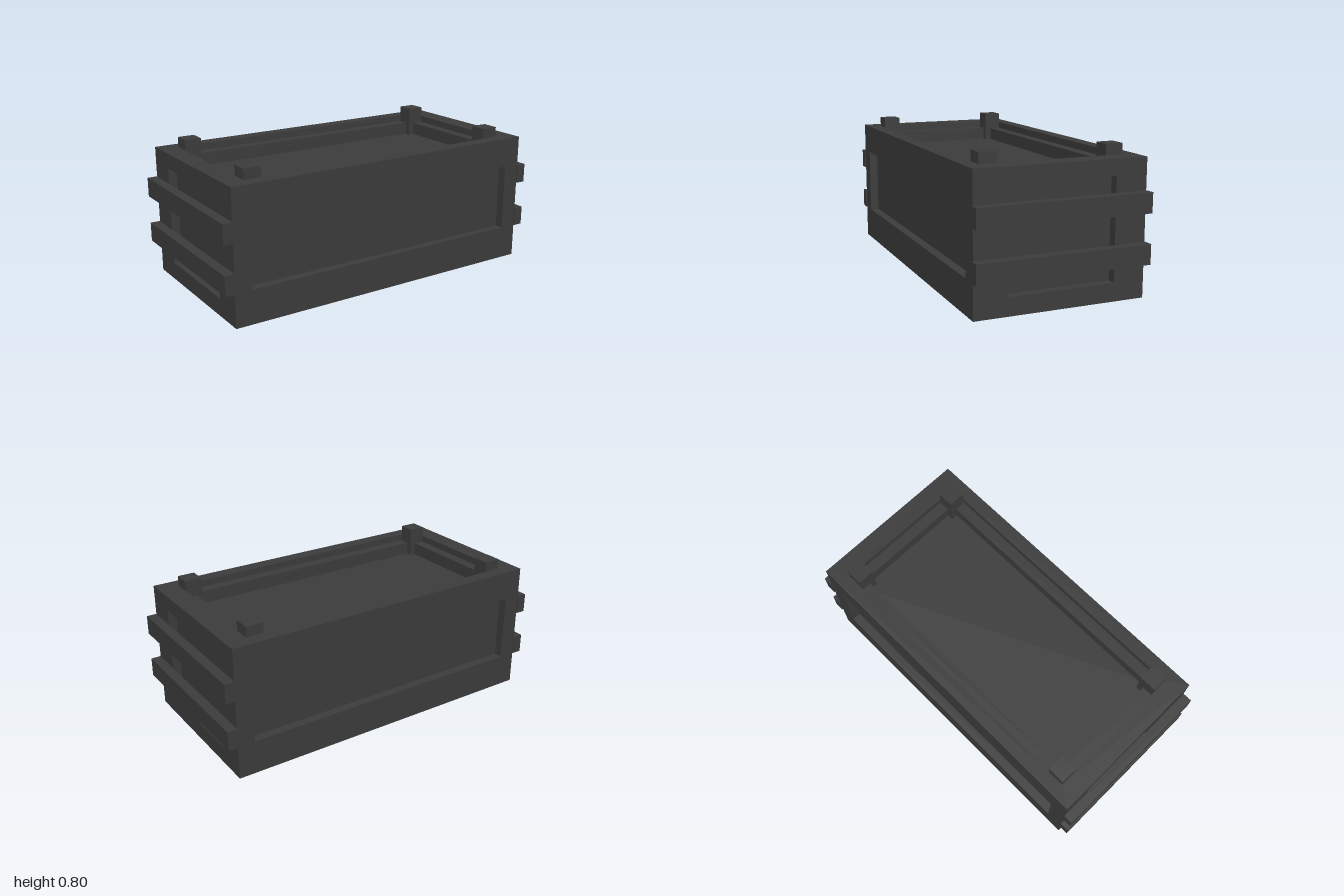
import * as THREE from 'three';
import { mergeGeometries } from 'three/addons/utils/BufferGeometryUtils.js';

const material = new THREE.MeshStandardMaterial({ color: 0x3c3c3c, flatShading: true });

// Flat w x h panel facing +z with a rectangular recess [x0, x1, y0, y1] sunk to -depth
function recessedPanel(w, h, [x0, x1, y0, y1], depth) {
  const rect = (Type, a, b, c, d) => {
    const p = new Type();
    p.moveTo(a, c).lineTo(b, c).lineTo(b, d).lineTo(a, d).closePath();
    return p;
  };
  const frame = rect(THREE.Shape, -w / 2, w / 2, -h / 2, h / 2);
  frame.holes.push(rect(THREE.Path, x0, x1, y0, y1));

  const cx = (x0 + x1) / 2, cy = (y0 + y1) / 2, rw = x1 - x0, rh = y1 - y0;
  const plane = (pw, ph) => new THREE.PlaneGeometry(pw, ph);
  return mergeGeometries([
    new THREE.ShapeGeometry(frame),
    plane(rw, rh).translate(cx, cy, -depth),
    plane(depth, rh).rotateY(Math.PI / 2).translate(x0, cy, -depth / 2),
    plane(depth, rh).rotateY(-Math.PI / 2).translate(x1, cy, -depth / 2),
    plane(rw, depth).rotateX(-Math.PI / 2).translate(cx, y0, -depth / 2),
    plane(rw, depth).rotateX(Math.PI / 2).translate(cx, y1, -depth / 2),
  ]);
}

export function createModel() {
  const group = new THREE.Group();
  const add = (name, geometry) => {
    const mesh = new THREE.Mesh(geometry, material);
    mesh.name = name;
    group.add(mesh);
  };
  // Box given by its limits on each axis
  const block = (name, [x0, x1], [y0, y1], [z0, z1]) => add(name,
    new THREE.BoxGeometry(x1 - x0, y1 - y0, z1 - z0)
      .translate((x0 + x1) / 2, (y0 + y1) / 2, (z0 + z1) / 2));

  const W = 1.89, H = 0.742, D = 0.95, mid = H / 2;

  // Crate body: six recessed panels
  const long = [-0.847, 0.847, 0.19 - mid, 0.573 - mid];
  const end = [-0.3, 0.3, 0.1 - mid, 0.655 - mid];
  add('frontPanel', recessedPanel(W, H, long, 0.05).translate(0, mid, D / 2));
  add('backPanel', recessedPanel(W, H, long, 0.05).rotateY(Math.PI).translate(0, mid, -D / 2));
  add('leftPanel', recessedPanel(D, H, end, 0.05).rotateY(Math.PI / 2).translate(W / 2, mid, 0));
  add('rightPanel', recessedPanel(D, H, end, 0.05).rotateY(-Math.PI / 2).translate(-W / 2, mid, 0));
  add('bottomPanel', recessedPanel(W, D, [-0.815, 0.815, -0.325, 0.3], 0.045).rotateX(Math.PI / 2));

  // Top tray
  const X0 = -0.837, X1 = 0.828, Z0 = -0.4, Z1 = 0.398, floor = 0.63, railTop = 0.703;
  add('topPanel', recessedPanel(W, D, [X0, X1, -Z1, -Z0], H - floor)
    .rotateX(-Math.PI / 2).translate(0, H, 0));

  // Corner posts
  const post = 0.097;
  for (const xs of [[X0, X0 + post], [X1 - post, X1]])
    for (const zs of [[Z0, Z0 + post], [Z1 - post, Z1]])
      block('cornerPost', xs, [floor, 0.8], zs);

  // Rails between the posts
  const rail = 0.062, ys = [floor, railTop];
  for (const xs of [[X0, X0 + rail], [X1 - rail, X1]])
    block('sideRail', xs, ys, [Z0 + post, Z1 - post]);
  for (const zs of [[Z0, Z0 + rail], [Z1 - rail, Z1]])
    block('longRail', [X0 + post, X1 - post], ys, zs);

  // Slats across both ends
  for (const xs of [[-1, -W / 2], [W / 2, 1]])
    for (const y of [0.19, 0.459])
      block('endSlat', xs, [y, y + 0.109], [-0.481, 0.481]);

  return group;
}
